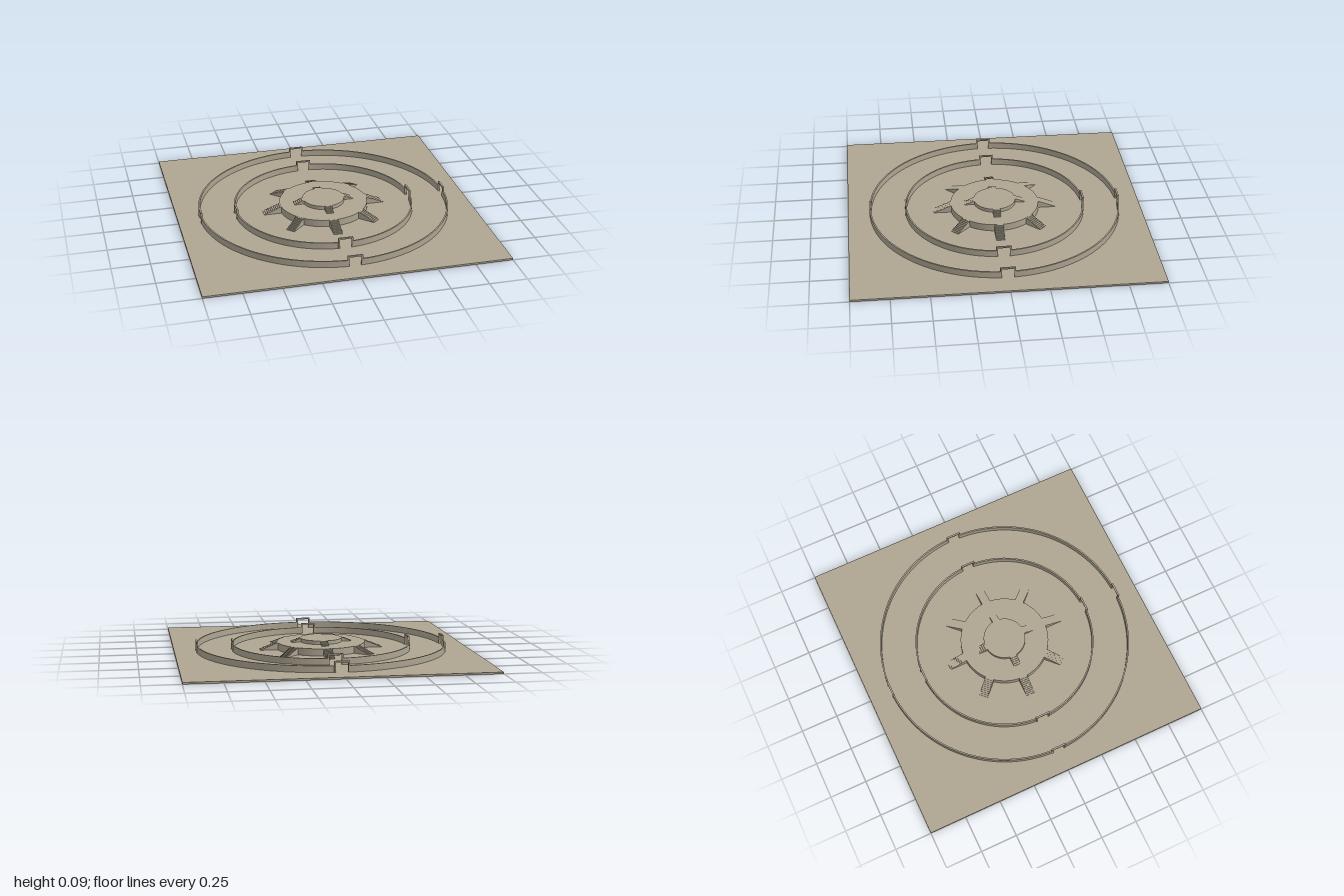
import * as THREE from 'three';
import { toCreasedNormals } from 'three/addons/utils/BufferGeometryUtils.js';

const stone = new THREE.MeshStandardMaterial({ color: 0xaea592 });
stone.name = 'stone';

const FLOOR = 0.012, TERRACE = 0.06, TOP = 0.085;

function add(parent, name, geometry, x = 0, y = 0, z = 0) {
  const mesh = new THREE.Mesh(geometry, stone);
  mesh.name = name;
  mesh.position.set(x, y, z);
  parent.add(mesh);
  return mesh;
}

// Quarter of a ring wall, leaving openings on the four axes
function wallGeometry(radius) {
  const gap = Math.asin(0.045 / radius), t = 0.005;
  const shape = new THREE.Shape();
  shape.absarc(0, 0, radius + t, gap, Math.PI / 2 - gap, false);
  shape.absarc(0, 0, radius - t, Math.PI / 2 - gap, gap, true);
  const geo = new THREE.ExtrudeGeometry(shape, { depth: 0.055 - FLOOR, bevelEnabled: false, curveSegments: 24 });
  geo.rotateX(-Math.PI / 2);
  return toCreasedNormals(geo, 0.5);
}

// Stepped side profile running outward along +x, extruded to the stair width
function stairGeometry(inner, outer, low, high, steps, width) {
  const run = (outer - inner) / steps, rise = (high - low) / steps;
  const shape = new THREE.Shape();
  shape.moveTo(inner - 0.02, low);
  shape.lineTo(outer, low);
  for (let i = 1; i <= steps; i++) {
    shape.lineTo(outer - (i - 1) * run, low + i * rise - 0.0004);
    shape.lineTo(outer - i * run, low + i * rise - 0.0004);
  }
  shape.lineTo(inner - 0.02, high - 0.0004);
  const geo = new THREE.ExtrudeGeometry(shape, { depth: width, bevelEnabled: false });
  geo.translate(0, 0, -width / 2);
  return geo;
}

// Open doorway frame: two posts and a lintel, standing across the +x axis
function makeGate(radius) {
  const gate = new THREE.Group();
  gate.name = 'gate';
  const height = TOP - FLOOR;
  const post = new THREE.BoxGeometry(0.012, height, 0.01);
  for (const s of [-1, 1]) add(gate, 'gatePost', post, radius, FLOOR + height / 2, s * 0.045);
  add(gate, 'gateLintel', new THREE.BoxGeometry(0.012, 0.01, 0.08), radius, TOP - 0.005, 0);
  return gate;
}

export function createModel() {
  const model = new THREE.Group();
  model.name = 'circularTerrace';

  // Square ground slab
  add(model, 'baseSlab', new THREE.BoxGeometry(2, FLOOR, 2), 0, FLOOR / 2, 0);

  // Two concentric ring walls with gates
  for (const [radius, label] of [[0.848, 'outer'], [0.605, 'inner']]) {
    const wall = wallGeometry(radius);
    for (let i = 0; i < 4; i++) {
      add(model, label + 'Wall', wall, 0, FLOOR, 0).rotation.y = i * Math.PI / 2;
      const gate = makeGate(radius);
      gate.rotation.y = i * Math.PI / 2;
      model.add(gate);
    }
  }

  // Two stacked round platforms
  const disc = (r, low, high) => new THREE.CylinderGeometry(r, r, high - low, 96).translate(0, (low + high) / 2, 0);
  add(model, 'lowerPlatform', disc(0.3, FLOOR, TERRACE));
  add(model, 'upperPlatform', disc(0.142, TERRACE, TOP));

  // Eight stairs to the lower platform, four to the upper
  const lower = stairGeometry(0.298, 0.418, FLOOR, TERRACE, 10, 0.06);
  const upper = stairGeometry(0.14, 0.205, TERRACE, TOP, 5, 0.05);
  for (let i = 0; i < 8; i++) {
    add(model, 'lowerStair', lower).rotation.y = i * Math.PI / 4;
    if (i % 2 === 0) add(model, 'upperStair', upper).rotation.y = i * Math.PI / 4;
  }
  return model;
}
